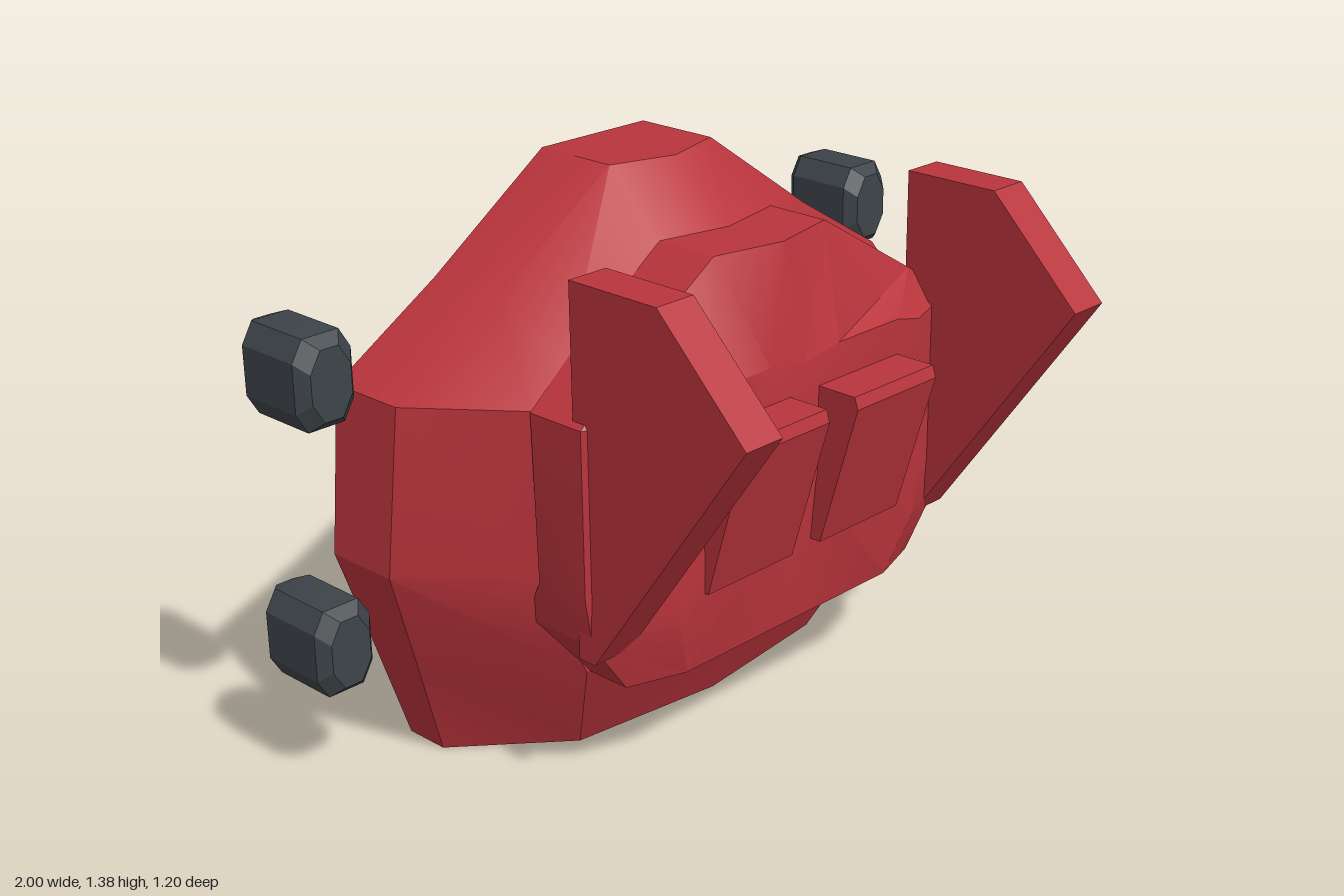
import * as THREE from 'three';
import { toCreasedNormals } from 'three/addons/utils/BufferGeometryUtils.js';

const red = new THREE.MeshStandardMaterial({ color: 0xb9343c });
red.name = 'red shell';
const grey = new THREE.MeshStandardMaterial({ color: 0x3d4449 });
grey.name = 'dark grey';

// Completes a half ring (bottom centre, up the +x side, to top centre) by mirroring
const mirrorRing = (half) => [
  ...half,
  ...half.slice(1, -1).reverse().map(([x, y, z]) => [-x, y, z]),
];

// Skins closed rings ordered from back to front and caps both ends
function loft(rings, backCentre, frontCentre, crease = 0.4) {
  const pos = [];
  const tri = (...pts) => pts.forEach((p) => pos.push(...p));
  const n = rings[0].length;
  const first = rings[0], last = rings[rings.length - 1];
  for (let j = 0; j < n; j++) {
    const k = (j + 1) % n;
    for (let i = 0; i < rings.length - 1; i++) {
      const a = rings[i][j], b = rings[i][k], c = rings[i + 1][k], d = rings[i + 1][j];
      tri(a, b, c);
      tri(a, c, d);
    }
    tri(backCentre, first[k], first[j]);
    tri(frontCentre, last[j], last[k]);
  }
  const g = new THREE.BufferGeometry();
  g.setAttribute('position', new THREE.Float32BufferAttribute(pos, 3));
  return toCreasedNormals(g, crease);
}

// Extrudes a (z, y) side profile across x, centred on x = 0
function sideExtrude(profile, width) {
  const shape = new THREE.Shape(profile.map(([z, y]) => new THREE.Vector2(-z, y)));
  const g = new THREE.ExtrudeGeometry(shape, { depth: width, bevelEnabled: false });
  g.translate(0, 0, -width / 2);
  g.rotateY(Math.PI / 2);
  return g;
}

export function createModel() {
  const model = new THREE.Group();
  model.name = 'armourPack';
  const add = (name, geometry, material, x = 0, y = 0, z = 0) => {
    const mesh = new THREE.Mesh(geometry, material);
    mesh.name = name;
    mesh.position.set(x, y, z);
    model.add(mesh);
  };

  // Main shell: flat back, straight rim, then tapering forwards
  const rim = [
    [0, 0, -0.36], [0.67, 0, -0.36], [0.765, 0.28, -0.32], [0.86, 0.55, -0.28],
    [0.82, 0.96, -0.27], [0.52, 1.14, -0.26], [0.17, 1.38, -0.25], [0, 1.38, -0.2],
  ];
  const shellFront = [
    [0, 0, -0.09], [0.42, 0, -0.14], [0.52, 0.28, 0], [0.63, 0.55, -0.03],
    [0.63, 0.96, -0.03], [0.5, 1.05, -0.05], [0.19, 1.24, -0.07], [0, 1.24, -0.03],
  ];
  const back = rim.map(([x, y]) => [x, y, -0.48]);
  add('shell', loft([back, rim, shellFront].map(mirrorRing), [0, 0.7, -0.48], [0, 0.34, 0.08]), red);

  // Raised front block with a sloped face
  const blockBack = [
    [0, 0.28, -0.06], [0.51, 0.28, -0.06], [0.62, 0.43, -0.09], [0.64, 0.55, -0.02],
    [0.64, 0.96, -0.03], [0.5, 1.05, -0.05], [0.19, 1.24, -0.07], [0, 1.24, -0.03],
  ];
  const blockMid = [
    [0, 0.28, 0.12], [0.51, 0.28, 0.12], [0.62, 0.43, 0.13], [0.64, 0.55, 0.13],
    [0.64, 0.96, 0.13], [0.5, 1.05, 0.11], [0.19, 1.24, 0.1], [0, 1.24, 0.14],
  ];
  const blockFront = [
    [0, 0.28, 0.17], [0.36, 0.28, 0.17], [0.42, 0.44, 0.21], [0.42, 0.55, 0.21],
    [0.42, 0.96, 0.21], [0.34, 0.98, 0.21], [0.12, 0.98, 0.21], [0, 0.96, 0.21],
  ];
  add('frontBlock', loft([blockBack, blockMid, blockFront].map(mirrorRing), [0, 0.7, -0.03], [0, 0.7, 0.21]), red);

  const finGeometry = sideExtrude([[0.09, 0.39], [0.14, 0.39], [0.6, 1.04], [0.35, 1.29], [0.09, 1.29]].reverse(), 0.11);
  const padGeometry = sideExtrude([[0.15, 0.49], [0.22, 0.49], [0.33, 0.86], [0.32, 0.89], [0.15, 0.89]].reverse(), 0.29);

  // Chamfered corner peg: octagons at four depths
  const octagon = (w, h, z) => {
    const cx = w - 0.03, cy = h - 0.05;
    return [[cx, -h, z], [w, -cy, z], [w, cy, z], [cx, h, z], [-cx, h, z], [-w, cy, z], [-w, -cy, z], [-cx, -h, z]];
  };
  const pegGeometry = loft(
    [octagon(0.055, 0.1, -0.12), octagon(0.08, 0.11, -0.09), octagon(0.08, 0.11, 0.09), octagon(0.055, 0.085, 0.12)],
    [0, 0, -0.12], [0, 0, 0.12],
  );

  for (const [side, s] of [['left', 1], ['right', -1]]) {
    add(side + 'Fin', finGeometry, red, s * 0.57);
    add(side + 'Pad', padGeometry, red, s * 0.195);
    add(side + 'LowerPeg', pegGeometry, grey, s * 0.92, 0.36, -0.48);
    add(side + 'UpperPeg', pegGeometry, grey, s * 0.92, 1.02, -0.48);
  }
  return model;
}
